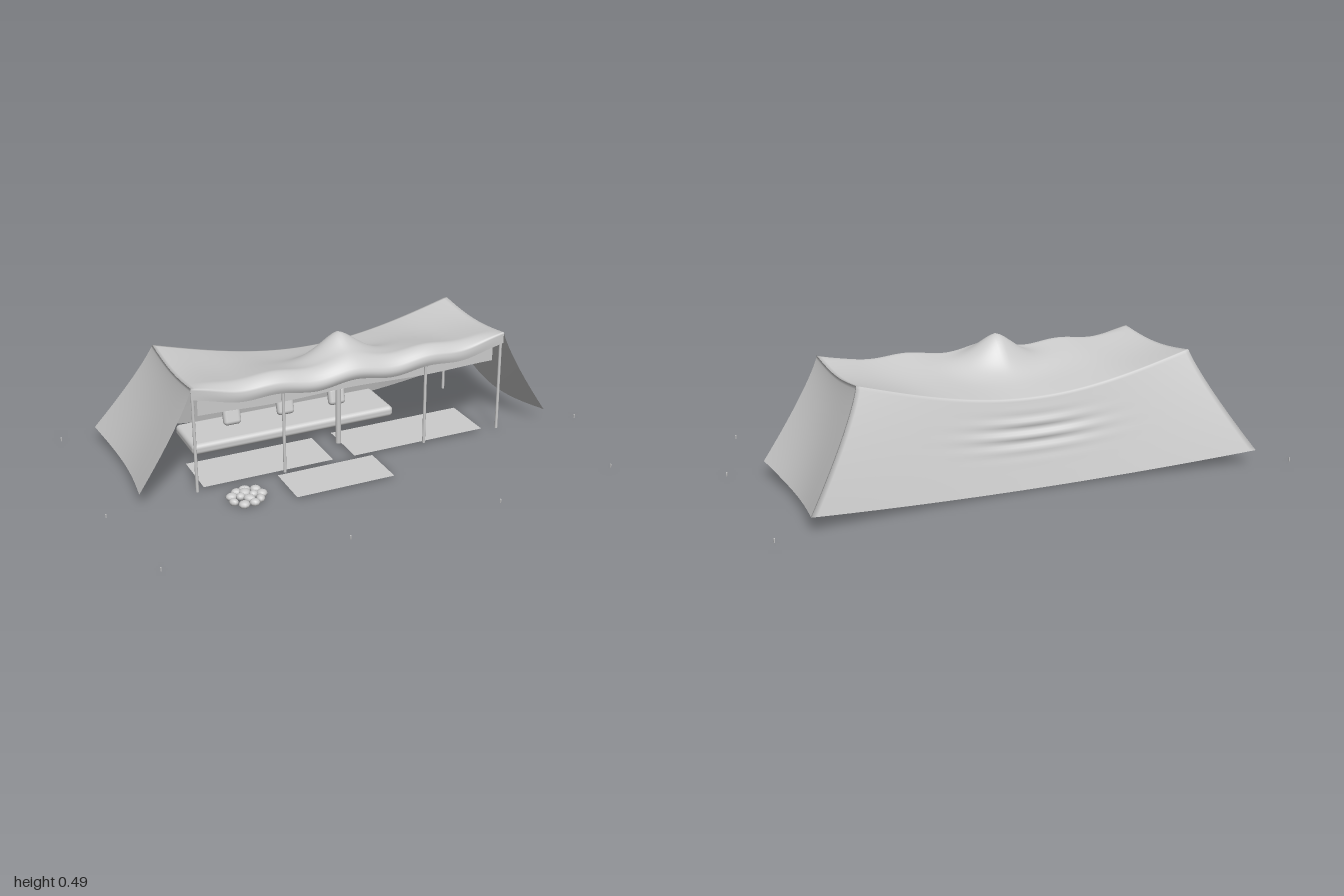
import * as THREE from 'three';
import { mergeGeometries, mergeVertices } from 'three/addons/utils/BufferGeometryUtils.js';
import { RoundedBoxGeometry } from 'three/addons/geometries/RoundedBoxGeometry.js';

const W = 0.65, ZF = 0.065, ZB = -0.4; // roof half width, front and back edges
const solid = new THREE.MeshStandardMaterial({ color: 0xcccccc });
const cloth = new THREE.MeshStandardMaterial({ color: 0xcccccc, side: THREE.DoubleSide });
const lerp = THREE.MathUtils.lerp;
const arch = (t) => Math.sin(Math.PI * t);

// Grid of cells over u, v in 0..1, placed by fn(u, v) -> [x, y, z]
function patch(nu, nv, fn, flip = false) {
  const pos = [], index = [];
  for (let j = 0; j <= nv; j++) for (let i = 0; i <= nu; i++) pos.push(...fn(i / nu, j / nv));
  for (let j = 0; j < nv; j++) {
    for (let i = 0; i < nu; i++) {
      const a = j * (nu + 1) + i, b = a + 1, c = a + nu + 1, d = c + 1;
      if (flip) index.push(a, c, b, b, c, d);
      else index.push(a, b, c, b, d, c);
    }
  }
  const g = new THREE.BufferGeometry();
  g.setAttribute('position', new THREE.Float32BufferAttribute(pos, 3));
  g.setIndex(index);
  return g;
}

// Roof height: sag to the back, scallops between front poles, peak at the centre pole
function roofY(x, t) {
  const z = lerp(ZF, ZB, t);
  const inner = 1 - Math.pow(Math.abs(x) / W, 4);
  const span = Math.cos((Math.PI * x) / (2 * W));
  let y = 0.437 - 0.02 * arch(t);
  y -= 0.115 * span * Math.pow(t, 1.4);
  y -= 0.018 * Math.pow(Math.sin((Math.PI * x) / 0.32), 2) * (1 - t) * inner;
  y -= 0.04 * inner * Math.pow(Math.max(0, 1 - t / 0.13), 2);
  y += 0.1 * Math.exp(-Math.pow(Math.abs(x) / 0.12, 1.5) - Math.pow((z + 0.1) / 0.085, 2));
  return y;
}

function canopy() {
  const roof = patch(84, 48, (u, v) => {
    const x = lerp(-W, W, u);
    return [x, roofY(x, v), lerp(ZF, ZB, v)];
  });
  // Back wall, flaring to the corners, with slack folds in the middle
  const back = patch(84, 36, (u, v) => {
    const top = lerp(-W, W, u), k = 2 * u - 1, bow = 1 - k * k;
    const x = Math.sign(k) * lerp(Math.abs(top), 0.865 * Math.abs(k), Math.pow(v, 1.2));
    const y = lerp(roofY(top, 1), 0.06 - 0.05 * bow, v);
    const fold = 0.007 * Math.sin(v * 42) * arch(v) * Math.exp(-Math.pow(x / 0.2, 2) - Math.pow((y - 0.21) / 0.06, 2));
    return [x, y, lerp(ZB, -0.56 + 0.08 * bow, v) + fold];
  });
  // Side walls
  const sides = [-1, 1].map((s) => patch(48, 36, (u, v) => {
    const bow = arch(u);
    return [
      s * (W + (0.215 - 0.03 * bow) * Math.pow(v, 1.2)),
      lerp(roofY(W, u), 0.06 - 0.025 * bow, v),
      lerp(ZF, lerp(ZB, -0.56, v), u),
    ];
  }, s < 0));
  // Hanging front edge
  const valance = patch(84, 6, (u, v) => {
    const x = lerp(-W, W, u);
    return [x, roofY(x, 0) - 0.045 * v, ZF + 0.008 * arch(v) * arch(u)];
  }, true);
  const g = mergeVertices(mergeGeometries([roof, back, ...sides, valance]), 1e-4);
  g.computeVertexNormals();
  return g;
}

export function createModel() {
  const model = new THREE.Group();
  const add = (name, geo, mat, x = 0, y = 0, z = 0) => {
    const m = new THREE.Mesh(geo, mat);
    m.name = name;
    m.position.set(x, y, z);
    model.add(m);
    return m;
  };

  add('canopy', canopy(), cloth);

  // Inner strip hung behind the front edge
  const strip = patch(40, 2, (u, v) => {
    const x = lerp(-0.62, 0.62, u);
    return [x, lerp(0.37, 0.308 + 0.004 * Math.cos(x * 10), v), 0.035];
  }, true);
  strip.computeVertexNormals();
  add('innerStrip', strip, cloth);

  // Poles: x, z, radius, top
  const poles = [
    [-0.643, 0.055, 0.006, 0.42], [0.643, 0.055, 0.006, 0.42],
    [-0.29, 0.048, 0.006, 0.39], [0.31, 0.048, 0.006, 0.39],
    [-0.643, -0.39, 0.006, 0.42], [0.643, -0.39, 0.006, 0.42],
    [0, -0.095, 0.011, 0.48],
  ];
  for (const [x, z, r, top] of poles) {
    add('pole', new THREE.CylinderGeometry(r, r, top - 0.016, 12), solid, x, (top + 0.016) / 2, z);
  }

  // Ground mats: x0, x1, z0, z1
  for (const [x0, x1, z0, z1] of [[-0.61, -0.08, -0.18, 0.03], [0.01, 0.585, -0.19, 0.035], [-0.325, 0.075, 0.06, 0.25]]) {
    const g = new THREE.PlaneGeometry(x1 - x0, z1 - z0).rotateX(-Math.PI / 2);
    add('mat', g, cloth, (x0 + x1) / 2, 0.015, (z0 + z1) / 2);
  }

  // Long floor cushion and three back cushions
  add('floorCushion', new RoundedBoxGeometry(0.88, 0.046, 0.225, 4, 0.018), solid, -0.125, 0.036, -0.338);
  for (const x of [-0.353, -0.12, 0.112]) {
    const c = add('backCushion', new RoundedBoxGeometry(0.075, 0.075, 0.035, 4, 0.016), solid, x, 0.094, -0.36);
    c.rotation.x = -0.25;
  }

  // Ring of hearth stones
  const hearth = new THREE.Group();
  hearth.name = 'hearth';
  hearth.position.set(-0.49, 0, 0.168);
  model.add(hearth);
  for (let i = 0; i < 13; i++) {
    const outer = i < 9, a = (i / (outer ? 9 : 4)) * Math.PI * 2;
    const r = outer ? 0.058 + 0.006 * Math.sin(i * 5) : 0.025;
    const stone = new THREE.Mesh(new THREE.SphereGeometry(1, 10, 7), solid);
    stone.name = 'stone';
    stone.position.set(Math.cos(a) * r, outer ? 0.018 : 0.022, Math.sin(a) * r);
    stone.scale.set(0.021 + 0.003 * Math.sin(i * 3), 0.014, 0.019 + 0.003 * Math.cos(i * 4));
    stone.rotation.y = i * 1.3;
    hearth.add(stone);
  }

  // Ground pegs
  const pegs = [[-0.997, -0.595], [0.997, -0.595], [-0.997, 0.088], [0.997, 0.1],
    [-0.925, 0.51], [0.865, 0.535], [-0.27, 0.592], [0.335, 0.592]];
  for (const [x, z] of pegs) {
    add('peg', new THREE.CylinderGeometry(0.003, 0.002, 0.015, 8), solid, x, 0.016, z);
  }
  return model;
}
